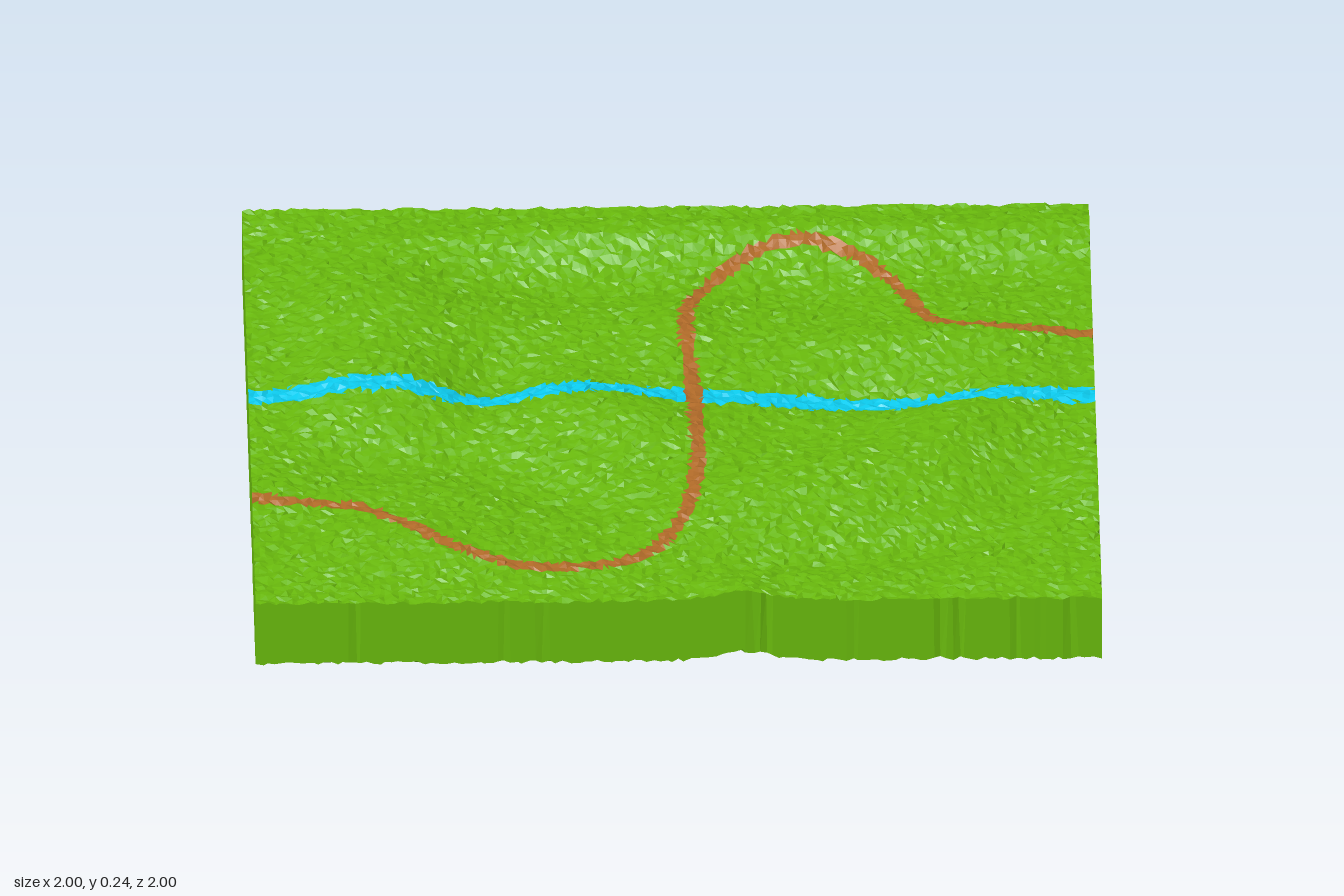
import * as THREE from 'three';

const N = 136;            // grid cells per side
const CELL = 2 / N;
const TOP = 0.2, BOTTOM = 0.04;

let seed = 7;
function rand() {
  seed = (seed * 16807) % 2147483647;
  return seed / 2147483647;
}
const jitter = (a) => (rand() * 2 - 1) * a;

// Soft hills and hollows: [x, z, length, width, turn, height]
const hills = [
  // north ridge and the trough south of it
  [-0.22, -0.83, 0.36, 0.09, 0, 0.045], [0.35, -0.85, 0.35, 0.09, 0, 0.04],
  [-0.2, -0.62, 0.32, 0.1, 0, -0.03], [0.33, -0.6, 0.22, 0.11, 0, -0.025],
  [0.8, -0.64, 0.2, 0.08, 0, -0.02],
  // west hill, dropping east into a gully
  [-0.7, -0.08, 0.17, 0.22, 0, 0.045], [-0.68, -0.48, 0.2, 0.2, 0, 0.043],
  [-0.42, -0.14, 0.1, 0.15, 0.4, -0.04],
  // centre hill and the hollow southwest of it
  [-0.13, 0.08, 0.26, 0.13, 0.7, 0.042], [-0.36, 0.36, 0.3, 0.1, 0.7, -0.034],
  [-0.7, 0.27, 0.16, 0.1, 0.2, -0.03],
  // southeast plateau and the low ground outside it
  [0.35, 0.42, 0.35, 0.14, -0.4, 0.04], [0.65, 0.16, 0.25, 0.12, -0.9, 0.035],
  [0.45, 0.74, 0.32, 0.09, -0.25, -0.03], [0.87, 0.4, 0.28, 0.09, -0.9, -0.025],
  // river bed and its north bank
  [0.48, -0.05, 0.25, 0.08, 0, -0.035], [0.6, -0.3, 0.32, 0.09, -0.1, 0.032],
  [0.02, -0.36, 0.1, 0.16, 0, 0.025], [-0.55, 0.72, 0.25, 0.14, 0.4, 0.024],
];
// Swellings that reach the rim
const rimHills = [
  [0.15, 1, 0.09, 0.12, 0, 0.025], [1, -0.84, 0.4, 0.09, 0, 0.034],
  [1, 0.4, 0.12, 0.09, 0, 0.01], [-1, 0.45, 0.14, 0.1, 0, 0.02],
];
function swell(list, x, z) {
  let sum = 0;
  for (const [cx, cz, a, b, turn, h] of list) {
    const c = Math.cos(turn), s = Math.sin(turn);
    const u = ((x - cx) * c + (z - cz) * s) / a;
    const v = ((z - cz) * c - (x - cx) * s) / b;
    sum += h * Math.exp(-u * u - v * v);
  }
  return sum;
}
function relief(x, z) {
  const rim = Math.min(1 - Math.abs(x), 1 - Math.abs(z));
  const fade = THREE.MathUtils.smoothstep(rim, 0, 0.18);
  const h = swell(hills, x, z) * fade + swell(rimHills, x, z);
  return THREE.MathUtils.clamp(h, -0.028, 0.04);
}

// Winding footpath seen from above
const pathLine = new THREE.CatmullRomCurve3([
  [-1.05, 0.49], [-0.9, 0.5], [-0.75, 0.52], [-0.66, 0.6], [-0.55, 0.73], [-0.43, 0.81],
  [-0.3, 0.835], [-0.1, 0.78], [0, 0.63], [0.05, 0.4], [0.055, 0.1], [0.05, -0.1],
  [0.04, -0.4], [0.07, -0.58], [0.18, -0.73], [0.32, -0.785], [0.47, -0.72],
  [0.55, -0.6], [0.6, -0.45], [0.65, -0.38], [0.8, -0.35], [1.05, -0.345],
].map(([x, z]) => new THREE.Vector3(x, 0, z))).getSpacedPoints(400);

function groundKind(x, z) {
  for (const p of pathLine) {
    if ((p.x - x) ** 2 + (p.z - z) ** 2 < 0.018 ** 2) return 'path';
  }
  return Math.abs(z + 0.041 - 0.01 * x) < 0.036 + jitter(0.008) ? 'river' : 'grass';
}

// Rough sheet of points that follows the relief, with shallow notches along its rim
function makeSheet(level, notches) {
  const rows = [];
  for (let j = 0; j <= N; j++) {
    const row = [];
    for (let i = 0; i <= N; i++) {
      let x = -1 + i * CELL, z = -1 + j * CELL;
      const xRim = i === 0 || i === N, zRim = j === 0 || j === N;
      if (!xRim) x += jitter(0.33 * CELL);
      else if (!zRim) x *= 1 - notches[j];
      if (!zRim) z += jitter(0.33 * CELL);
      else if (!xRim) z *= 1 - notches[i];
      row.push(new THREE.Vector3(x, level + relief(x, z) + jitter(0.0048), z));
    }
    rows.push(row);
  }
  return rows;
}

export function createModel() {
  const group = new THREE.Group();
  group.name = 'terrainTile';
  const faces = { grass: [], river: [], path: [], walls: [], riverBanks: [], underside: [] };
  const triangle = (kind, a, b, c) => {
    for (const p of [a, b, c]) faces[kind].push(p.x, p.y, p.z);
  };

  const notches = Array.from({ length: N + 1 }, () => (rand() < 0.1 ? 0.006 * rand() : 0));
  const top = makeSheet(TOP, notches);
  const under = makeSheet(BOTTOM, notches);

  // Top ground, sorted into grass, river and path; underside facing down
  const topTriangle = (a, b, c) =>
    triangle(groundKind((a.x + b.x + c.x) / 3, (a.z + b.z + c.z) / 3), a, b, c);
  const underTriangle = (a, b, c) => triangle('underside', a, c, b);
  for (const [sheet, add] of [[top, topTriangle], [under, underTriangle]]) {
    for (let j = 0; j < N; j++) {
      for (let i = 0; i < N; i++) {
        const a = sheet[j][i], b = sheet[j + 1][i];
        const c = sheet[j + 1][i + 1], d = sheet[j][i + 1];
        if (rand() < 0.5) {
          add(a, b, c);
          add(a, c, d);
        } else {
          add(a, b, d);
          add(b, c, d);
        }
      }
    }
  }

  // Side walls join the rims of the two sheets
  const rims = [
    (s, k) => s[N][k], (s, k) => s[N - k][N],
    (s, k) => s[0][N - k], (s, k) => s[k][0],
  ];
  rims.forEach((rim, side) => {
    for (let k = 0; k < N; k++) {
      const a = rim(under, k), b = rim(under, k + 1);
      const c = rim(top, k + 1), d = rim(top, k);
      const wet = side % 2 === 1 && Math.abs((c.z + d.z) / 2 + 0.022) < 0.016;
      const kind = wet ? 'riverBanks' : 'walls';
      triangle(kind, a, b, c);
      triangle(kind, a, c, d);
    }
  });

  const green = 0x68b80c, blue = 0x0ccbee, brown = 0xb06a28;
  const colors = {
    grass: green, walls: green, underside: green,
    river: blue, riverBanks: blue, path: brown,
  };
  for (const [name, positions] of Object.entries(faces)) {
    const geometry = new THREE.BufferGeometry();
    geometry.setAttribute('position', new THREE.Float32BufferAttribute(positions, 3));
    geometry.computeVertexNormals();
    const material = new THREE.MeshStandardMaterial({ color: colors[name], flatShading: true });
    const mesh = new THREE.Mesh(geometry, material);
    mesh.name = name;
    group.add(mesh);
  }
  return group;
}
